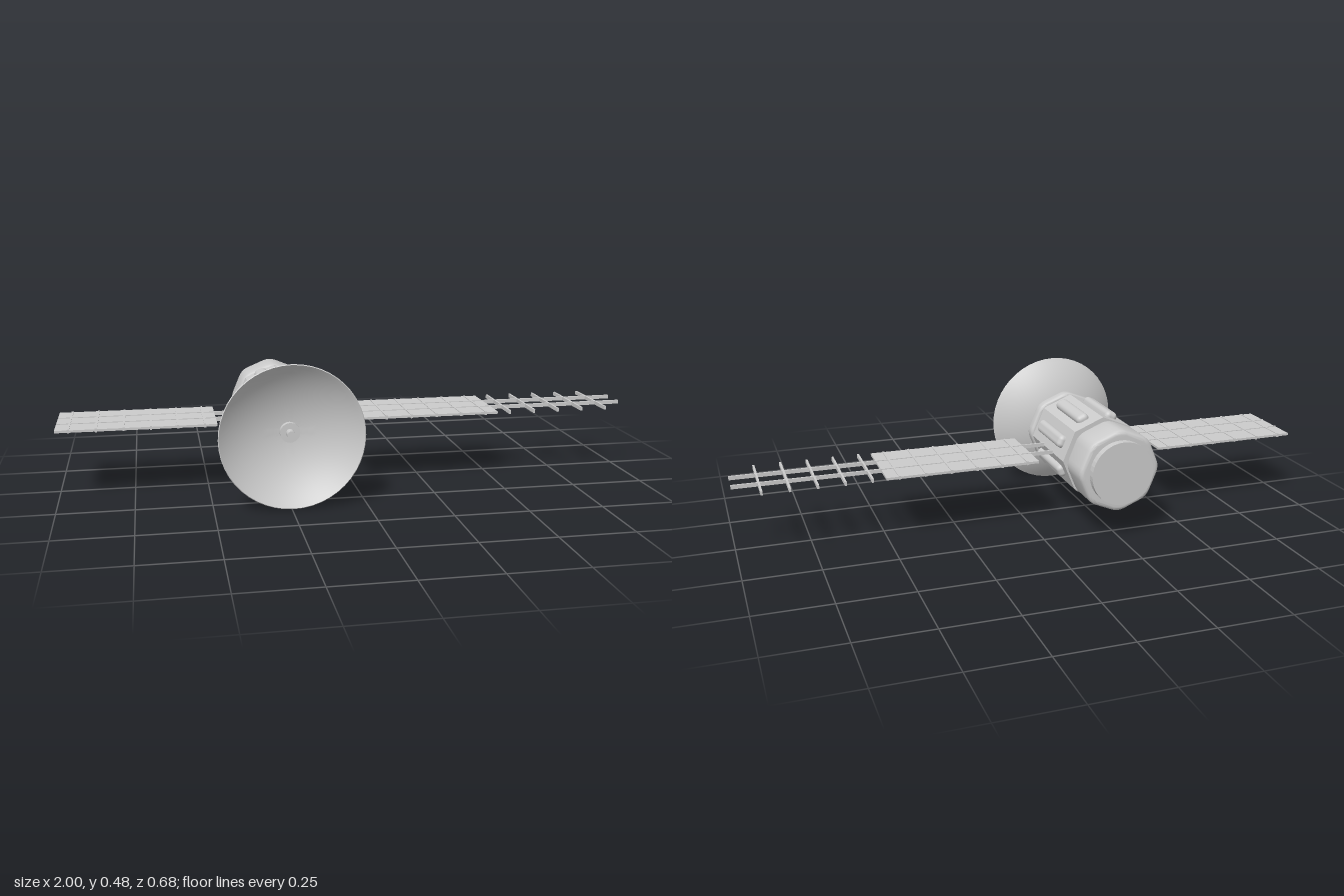
import * as THREE from 'three';
import { RoundedBoxGeometry } from 'three/addons/geometries/RoundedBoxGeometry.js';
import { toCreasedNormals } from 'three/addons/utils/BufferGeometryUtils.js';

const AXIS_X = -0.245, AXIS_Y = 0.24;

export function createModel() {
  const model = new THREE.Group();
  model.name = 'satellite';
  const smooth = new THREE.MeshStandardMaterial({ color: 0xcccccc });
  const flat = new THREE.MeshStandardMaterial({ color: 0xcccccc, flatShading: true });
  const thin = new THREE.MeshStandardMaterial({ color: 0xcccccc, side: THREE.DoubleSide });

  // The hull's long axis runs along z through this group's origin
  const hull = new THREE.Group();
  hull.name = 'hull';
  hull.position.set(AXIS_X, AXIS_Y, 0);
  model.add(hull);

  const add = (parent, name, geometry, material = smooth) => {
    const mesh = new THREE.Mesh(geometry, material);
    mesh.name = name;
    parent.add(mesh);
    return mesh;
  };

  // Drum of radius r between two z values
  const drum = (name, r, zBack, zFront, sides, material) => {
    const g = new THREE.CylinderGeometry(r, r, zFront - zBack, sides);
    g.rotateX(Math.PI / 2).translate(0, 0, (zFront + zBack) / 2);
    return add(hull, name, g, material);
  };

  // Octagonal collar with rounded corners and bevelled rims
  const collar = (name, r, zBack, zFront, bevel) => {
    const shape = new THREE.Shape();
    const corner = i => new THREE.Vector2(Math.cos(i * Math.PI / 4), Math.sin(i * Math.PI / 4)).multiplyScalar(r - bevel);
    for (let i = 0; i < 8; i++) {
      const c = corner(i);
      const a = c.clone().lerp(corner(i - 1), 0.2), b = c.clone().lerp(corner(i + 1), 0.2);
      if (i === 0) shape.moveTo(a.x, a.y); else shape.lineTo(a.x, a.y);
      shape.quadraticCurveTo(c.x, c.y, b.x, b.y);
    }
    shape.closePath();
    const g = new THREE.ExtrudeGeometry(shape, {
      depth: zFront - zBack - 2 * bevel, bevelThickness: bevel, bevelSize: bevel, bevelSegments: 4, curveSegments: 4,
    });
    g.translate(0, 0, zBack + bevel);
    add(hull, name, toCreasedNormals(g, 0.5));
  };

  drum('core', 0.11, -0.34, 0.238, 40, flat);
  drum('octagonalBody', 0.145, -0.16, 0.15, 8, flat);
  collar('rearCollar', 0.146, -0.315, -0.185, 0.014);
  collar('frontCollar', 0.146, 0.173, 0.215, 0.01);

  // One raised rounded rib on each face of the body
  for (let i = 0; i < 8; i++) {
    const a = (i + 0.5) * Math.PI / 4;
    const rib = add(hull, 'rib', new RoundedBoxGeometry(0.045, 0.046, 0.22, 4, 0.016));
    rib.position.set(Math.cos(a) * 0.132, Math.sin(a) * 0.132, -0.005);
    rib.rotation.z = a;
  }

  // Dish: thin spherical bowl opening forwards
  const R = 0.365, rim = Math.asin(0.239 / R), profile = [];
  for (let i = 0; i <= 14; i++) {
    const a = rim * i / 14;
    profile.push(new THREE.Vector2(R * Math.sin(a), R * (1 - Math.cos(a))));
  }
  for (let i = 14; i >= 0; i--) {
    const a = rim * i / 14;
    profile.push(new THREE.Vector2((R - 0.004) * Math.sin(a), R - (R - 0.004) * Math.cos(a)));
  }
  const bowl = new THREE.LatheGeometry(profile, 48);
  bowl.rotateX(Math.PI / 2).translate(0, 0, 0.25);
  add(hull, 'dish', toCreasedNormals(bowl, 0.6), thin);
  drum('dishNeck', 0.033, 0.235, 0.275, 24);
  drum('feedTip', 0.014, 0.27, 0.31, 16);

  // Wings: long spars, cross bars and thin panels
  const wings = new THREE.Group();
  wings.name = 'solarWings';
  wings.position.set(0, 0.241, -0.0065);
  model.add(wings);
  const box = (name, w, h, d, x, z) =>
    add(wings, name, new THREE.BoxGeometry(w, h, d)).position.set(x, 0, z);

  for (const z of [-0.0445, 0.0445]) box('spar', 2, 0.013, 0.007, 0, z);
  for (const side of [-1, 1]) {
    box('solarPanel', 0.53, 0.008, 0.267, AXIS_X + side * 0.49, 0);
    // The left wing's outer panel is missing, leaving its bars bare
    const bars = side > 0 ? 11 : 6;
    for (let i = 0; i < bars; i++) {
      box('crossBar', 0.007, 0.013, 0.267, AXIS_X + side * (0.266 + i * 0.089), 0);
    }
  }
  return model;
}
